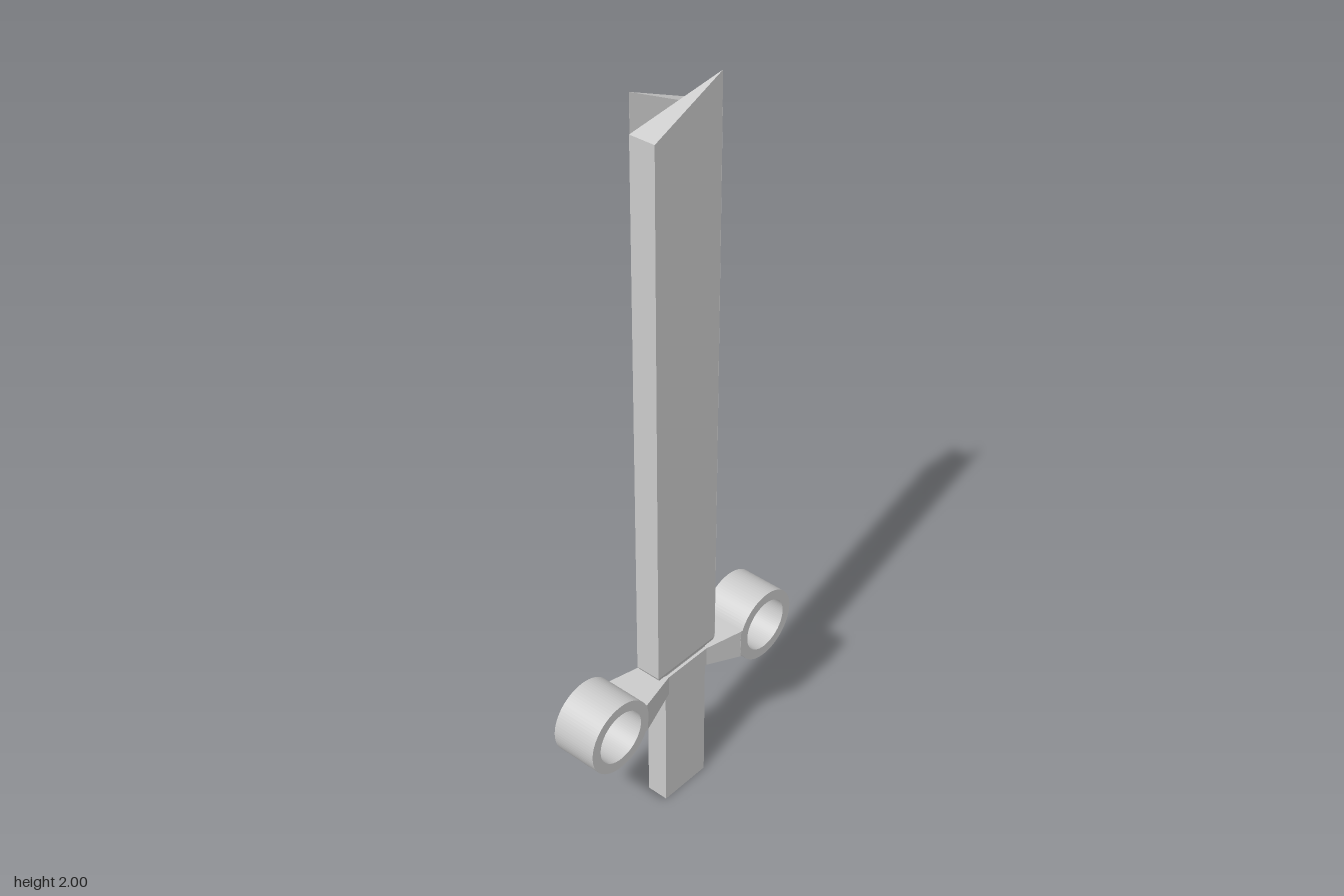
import * as THREE from 'three';
import { ConvexGeometry } from 'three/addons/geometries/ConvexGeometry.js';

const material = new THREE.MeshStandardMaterial({ color: 0xcccccc, flatShading: true });

function part(name, geometry, parent) {
  const mesh = new THREE.Mesh(geometry, material);
  mesh.name = name;
  parent.add(mesh);
  return mesh;
}

// Triangular prism with a sloped tip and a slightly bevelled foot
function bladeHalfGeometry() {
  const corners = [[-0.11, 0.038, 1.91], [-0.11, -0.032, 1.91], [0.102, 0.038, 2]];
  const points = [];
  for (const [x, z, top] of corners) {
    points.push(new THREE.Vector3(x, top, z));
    points.push(new THREE.Vector3(x, 0.45, z));
    points.push(new THREE.Vector3(x * 0.95, 0.44, z * 0.92));
  }
  return new ConvexGeometry(points);
}

// Arm that flares from the middle of the guard to the ring
function armGeometry() {
  const sections = [[0.072, 0.374, 0.038], [0.178, 0.346, 0.063], [0.188, 0.344, 0.063]];
  const points = [];
  for (const [x, bottom, z] of sections) {
    for (const y of [bottom, 0.43]) {
      points.push(new THREE.Vector3(x, y, z), new THREE.Vector3(x, y, -z));
    }
  }
  return new ConvexGeometry(points);
}

// Thick ring with its hole facing the front
function ringGeometry() {
  const shape = new THREE.Shape().absarc(0, 0, 0.1, 0, Math.PI * 2, false);
  shape.holes.push(new THREE.Path().absarc(0, 0, 0.072, 0, Math.PI * 2, true));
  const geometry = new THREE.ExtrudeGeometry(shape, { depth: 0.126, bevelEnabled: false, curveSegments: 40 });
  return geometry.translate(0.275, 0.39, -0.063);
}

export function createModel() {
  const model = new THREE.Group();
  model.name = 'sword';

  // Grip running up into the blade
  part('grip', new THREE.BoxGeometry(0.15, 0.445, 0.06).translate(0, 0.2225, 0), model);

  // Middle of the guard
  part('guardCentre', new THREE.BoxGeometry(0.146, 0.056, 0.076).translate(0, 0.402, 0), model);

  // Blade halves and guard arms repeat by a half turn
  const blade = bladeHalfGeometry();
  const arm = armGeometry();
  const ring = ringGeometry();
  for (const [side, turn] of [['left', 0], ['right', Math.PI]]) {
    const guard = new THREE.Group();
    guard.name = side + 'Guard';
    guard.rotation.y = turn;
    part('guardArm', arm, guard);
    part('guardRing', ring, guard);
    model.add(guard);
    part(turn ? 'backBladeHalf' : 'frontBladeHalf', blade, model).rotation.y = turn;
  }
  return model;
}
